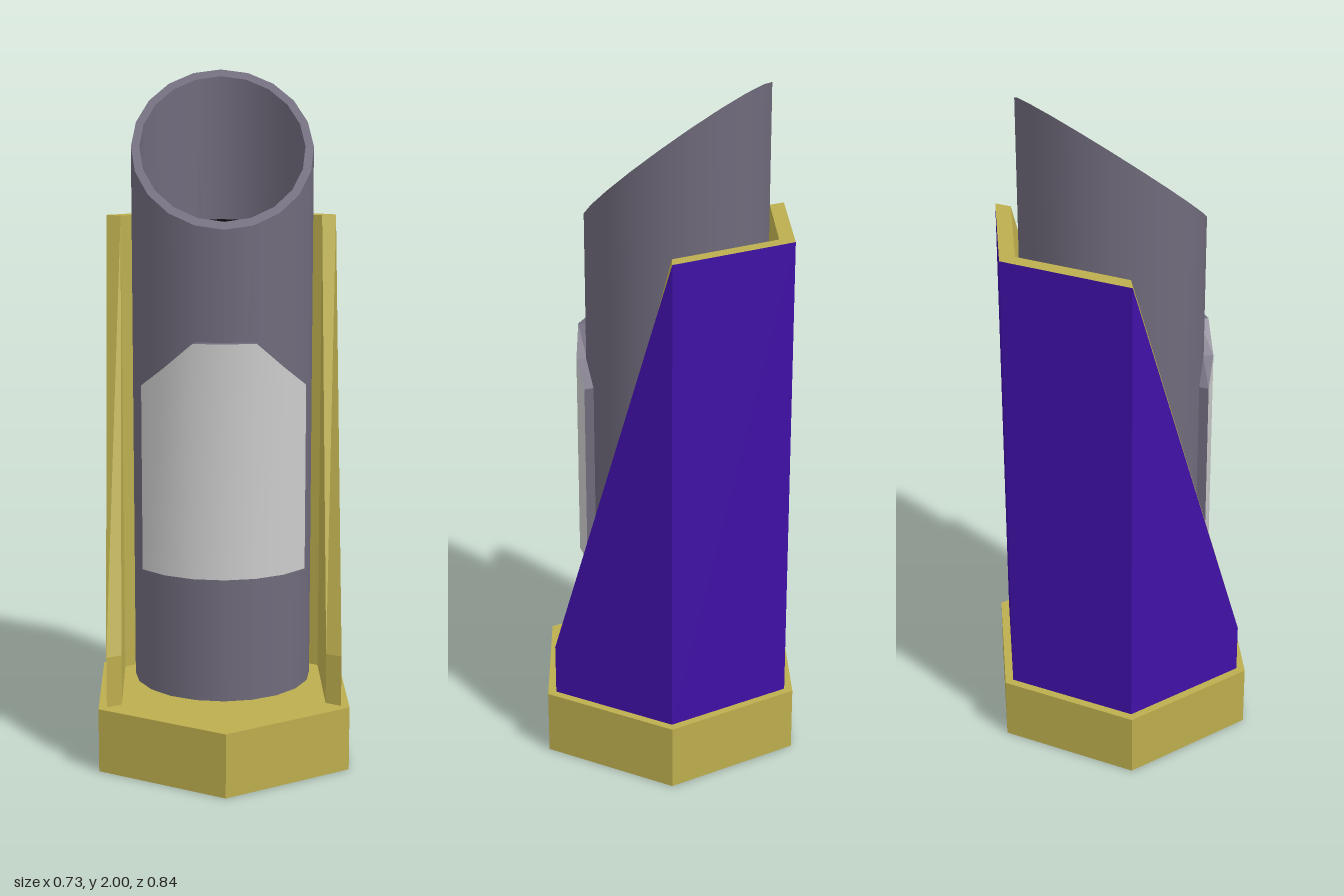
import * as THREE from 'three';
import { mergeVertices } from 'three/addons/utils/BufferGeometryUtils.js';

const material = (color, flatShading = false) =>
  new THREE.MeshStandardMaterial({ color, flatShading, side: THREE.DoubleSide });

// Surface from four-cornered faces, corners counter-clockwise seen from outside
function quads(faces, smooth = false) {
  const pos = faces.flatMap(([a, b, c, d]) => [a, b, c, a, c, d].flat());
  let g = new THREE.BufferGeometry();
  g.setAttribute('position', new THREE.Float32BufferAttribute(pos, 3));
  if (smooth) g = mergeVertices(g, 1e-4);
  g.computeVertexNormals();
  return g;
}

export function createModel() {
  const model = new THREE.Group();
  const gold = material(0xbcae4e, true);
  const violet = material(0x3f10a6, true);
  const steel = material(0x6f6a7b);
  const steelFlat = material(0x6f6a7b, true);
  const black = material(0x0a0a0a);
  const pale = material(0xcccccc);

  const add = (parent, name, geometry, mat) => {
    const mesh = new THREE.Mesh(geometry, mat);
    mesh.name = name;
    parent.add(mesh);
    return mesh;
  };
  const group = (name) => {
    const g = new THREE.Group();
    g.name = name;
    model.add(g);
    return g;
  };

  // Hexagonal foot
  add(model, 'base', new THREE.CylinderGeometry(0.42, 0.42, 0.19, 6), gold).position.y = 0.095;

  // Tube with a slanted mouth
  const tube = group('tube');
  tube.position.z = -0.026;
  const R = 0.261, r = 0.237, SIDES = 20, BOTTOM = 0.22;
  const cutY = (z) => 1.79 - 0.808 * z;
  const wall = (radius) => {
    const g = new THREE.CylinderGeometry(radius, radius, 1, SIDES, 1, true);
    const p = g.attributes.position;
    for (let i = 0; i < p.count; i++) p.setY(i, p.getY(i) > 0 ? cutY(p.getZ(i)) : BOTTOM);
    return g;
  };
  add(tube, 'tubeOuterWall', wall(R), steel);
  add(tube, 'tubeInnerWall', wall(r), steel);
  const rim = new THREE.RingGeometry(r, R, SIDES).rotateX(-Math.PI / 2);
  const rp = rim.attributes.position;
  for (let i = 0; i < rp.count; i++) rp.setY(i, cutY(rp.getZ(i)));
  rim.computeVertexNormals();
  add(tube, 'tubeRim', rim, steelFlat);
  const disc = (radius) => new THREE.CircleGeometry(radius, SIDES);
  add(tube, 'tubeFloor', disc(r).rotateX(-Math.PI / 2), black).position.y = 1.56;
  add(tube, 'tubeUnderside', disc(R).rotateX(Math.PI / 2), steel).position.y = BOTTOM;

  // Curved front plate with clipped upper corners
  const plate = group('frontPlate');
  plate.position.z = -0.026;
  const plateTop = [1.13, 1.19, 1.265, 1.265, 1.265, 1.19, 1.13];
  const at = (i, radius, y) => {
    const a = ((i - 3) * Math.PI) / 10;
    return [Math.sin(a) * radius, y, Math.cos(a) * radius];
  };
  const PO = 0.289, PI = 0.259, PB = 0.59;
  const face = [], edge = [];
  for (let i = 0; i < 6; i++) {
    const t0 = plateTop[i], t1 = plateTop[i + 1];
    face.push([at(i, PO, PB), at(i + 1, PO, PB), at(i + 1, PO, t1), at(i, PO, t0)]);
    edge.push([at(i, PO, t0), at(i + 1, PO, t1), at(i + 1, PI, t1), at(i, PI, t0)]);
    edge.push([at(i, PI, PB), at(i + 1, PI, PB), at(i + 1, PO, PB), at(i, PO, PB)]);
  }
  edge.push([at(0, PI, PB), at(0, PO, PB), at(0, PO, 1.13), at(0, PI, 1.13)]);
  edge.push([at(6, PO, PB), at(6, PI, PB), at(6, PI, 1.13), at(6, PO, 1.13)]);
  add(plate, 'plateFace', quads(face, true), pale);
  add(plate, 'plateEdge', quads(edge), steelFlat);

  // Hexagonal back shield, its sides sloping down to the front
  const shield = group('shield');
  const outer = [[-0.34, 0.196], [-0.34, -0.196], [0, -0.393], [0.34, -0.196], [0.34, 0.196]];
  const inner = [[-0.297, 0.171], [-0.297, -0.171], [0, -0.343], [0.297, -0.171], [0.297, 0.171]];
  const tops = [0.34, 1.58, 1.58, 1.58, 0.34];
  const low = ([x, z]) => [x, 0.19, z];
  const top = (path, i) => [path[i][0], tops[i], path[i][1]];
  const outside = [], inside = [];
  for (let i = 0; i < 4; i++) {
    const j = i + 1;
    outside.push([low(outer[j]), low(outer[i]), top(outer, i), top(outer, j)]);
    inside.push([low(inner[i]), low(inner[j]), top(inner, j), top(inner, i)]);
    inside.push([top(outer, i), top(inner, i), top(inner, j), top(outer, j)]);
  }
  inside.push([low(outer[0]), low(inner[0]), top(inner, 0), top(outer, 0)]);
  inside.push([low(inner[4]), low(outer[4]), top(outer, 4), top(inner, 4)]);
  add(shield, 'shieldOutside', quads(outside), violet);
  add(shield, 'shieldInsideAndEdges', quads(inside), gold);

  return model;
}
